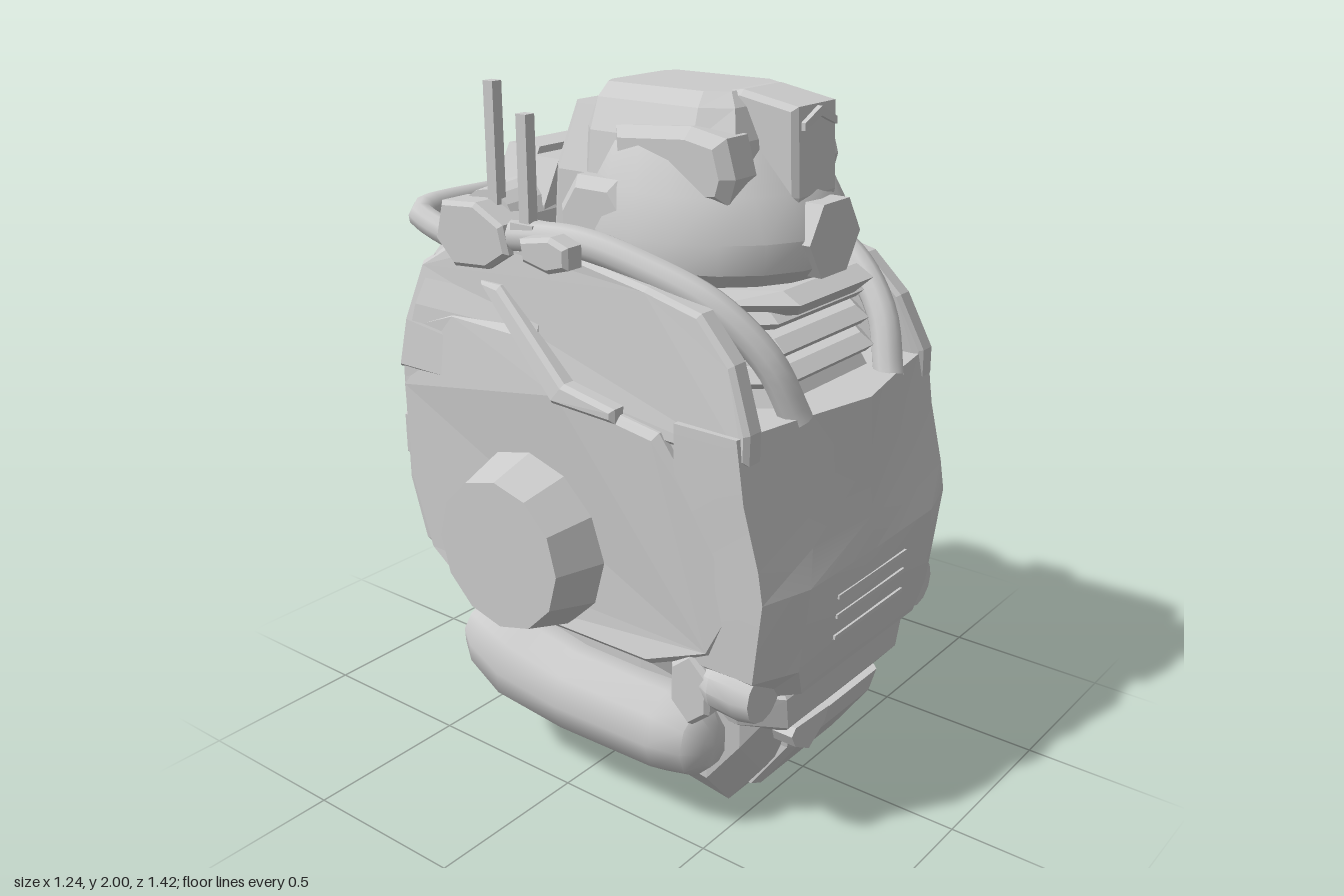
import * as THREE from 'three';
import { toCreasedNormals } from 'three/addons/utils/BufferGeometryUtils.js';

const flat = new THREE.MeshStandardMaterial({ color: 0xcccccc, flatShading: true, side: THREE.DoubleSide });
const smooth = new THREE.MeshStandardMaterial({ color: 0xcccccc, side: THREE.DoubleSide });

// Closed skin through rings of [x, y, z] points, capped at both ends
function loft(rings) {
  const n = rings[0].length, pos = rings.flat(2), idx = [];
  for (let r = 0; r < rings.length - 1; r++)
    for (let i = 0; i < n; i++) {
      const a = r * n + i, b = r * n + (i + 1) % n;
      idx.push(a, a + n, b, b, a + n, b + n);
    }
  [rings[0], rings[rings.length - 1]].forEach((ring, e) => {
    const c = pos.length / 3, o = e * (rings.length - 1) * n;
    for (let k = 0; k < 3; k++) pos.push(ring.reduce((s, p) => s + p[k], 0) / n);
    for (let i = 0; i < n; i++) {
      const a = o + i, b = o + (i + 1) % n;
      idx.push(...(e ? [c, b, a] : [c, a, b]));
    }
  });
  // Turn the faces outward if the enclosed volume is negative
  const v = i => new THREE.Vector3().fromArray(pos, idx[i] * 3);
  let vol = 0;
  for (let i = 0; i < idx.length; i += 3) vol += v(i).dot(v(i + 1).cross(v(i + 2)));
  if (vol < 0) idx.reverse();
  const g = new THREE.BufferGeometry();
  g.setAttribute('position', new THREE.Float32BufferAttribute(pos, 3));
  g.setIndex(idx);
  g.computeVertexNormals();
  return g;
}

// Horizontal eight-sided section: height, half width, front z, back z, chamfers
const oct = (y, w, f, b, cx = 0.12, cf = 0.12, cb = 0.12) => [
  [w, y, b + cb], [w, y, f - cf], [w - cx, y, f], [cx - w, y, f],
  [-w, y, f - cf], [-w, y, b + cb], [cx - w, y, b], [w - cx, y, b]];

// Horizontal rounded section, as above
const oval = (y, w, f, b) => Array.from({ length: 20 }, (_, i) => {
  const a = i * Math.PI / 10;
  return [w * Math.cos(a), y, (f + b) / 2 + (f - b) / 2 * Math.sin(a)];
});

const outline = pts => new THREE.Shape(pts.map(p => new THREE.Vector2(...p)));

// Plate cut from a (z, y) outline, from x0 out to x1
function slab(pts, x0, x1, bevel = 0.012) {
  const g = new THREE.ExtrudeGeometry(outline(pts), {
    depth: x1 - x0 - 2 * bevel, bevelSize: bevel, bevelThickness: bevel, bevelOffset: -bevel, bevelSegments: 1 });
  return g.rotateY(-Math.PI / 2).translate(x1 - bevel, 0, 0);
}

// Draws a side plate inward toward the top, the front and the back
function lean(g) {
  const p = g.attributes.position;
  for (let i = 0; i < p.count; i++) {
    const y = p.getY(i), z = p.getZ(i);
    p.setX(i, p.getX(i) - Math.max(0, y - 1.22) * 0.22 - Math.max(0, z - 0.35) * 0.12 - Math.max(0, -0.1 - z) * 0.07);
  }
  g.computeVertexNormals();
  return g;
}

// Plate cut from an (x, y) outline, from z0 forward to z1
function plate(pts, z0, z1, hole) {
  const s = outline(pts);
  if (hole) s.holes.push(outline(hole));
  return new THREE.ExtrudeGeometry(s, { depth: z1 - z0, bevelEnabled: false }).translate(0, 0, z0);
}

const hexagon = (x, y, rx, ry, turn = 0) => Array.from({ length: 6 }, (_, i) => {
  const a = i * Math.PI / 3 + turn;
  return [x + rx * Math.cos(a), y + ry * Math.sin(a)];
});
const box = (w, h, d, x, y, z, tilt = 0) => new THREE.BoxGeometry(w, h, d).rotateX(tilt).translate(x, y, z);
const pipe = (pts, r) => new THREE.TubeGeometry(
  new THREE.CatmullRomCurve3(pts.map(p => new THREE.Vector3(...p)), false, 'centripetal'), 28, r, 10);
// Cylinder lying along x, with its inner and outer radius
const drum = (rIn, rOut, x0, x1, y, z, sides) => new THREE.CylinderGeometry(rIn, rOut, x1 - x0, sides)
  .rotateZ(Math.PI / 2).translate((x0 + x1) / 2, y, z);

// Copy reflected across x = 0 with its corner order restored
function reflect(src) {
  const g = src.index ? src.toNonIndexed() : src.clone();
  g.scale(-1, 1, 1);
  for (const name of ['position', 'normal']) {
    const at = g.getAttribute(name), a = new THREE.Vector3(), b = new THREE.Vector3();
    for (let i = 0; i < at.count; i += 3) {
      a.fromBufferAttribute(at, i + 1);
      b.fromBufferAttribute(at, i + 2);
      at.setXYZ(i + 1, b.x, b.y, b.z);
      at.setXYZ(i + 2, a.x, a.y, a.z);
    }
  }
  return g;
}

export function createModel() {
  const root = new THREE.Group();
  root.name = 'mechTorso';
  const add = (name, g, mat = flat) => {
    const m = new THREE.Mesh(g, mat);
    m.name = name;
    root.add(m);
  };
  const pair = (name, g, mat = flat) => { add(name + 'Left', g, mat); add(name + 'Right', reflect(g), mat); };

  // Main hull and the sunken bay below the head
  add('hull', loft([oct(0.4, 0.38, 0.52, -0.45), oct(0.5, 0.42, 0.56, -0.56), oct(0.61, 0.45, 0.58, -0.66, 0.08, 0.1, 0.06),
    oct(0.8, 0.455, 0.6, -0.69, 0.06, 0.1, 0.04), oct(1.15, 0.455, 0.6, -0.69, 0.06, 0.1, 0.04), oct(1.21, 0.455, 0.58, -0.675, 0.06, 0.1, 0.04)]));
  add('upperBack', loft([oct(1.2, 0.455, -0.1, -0.68, 0.06, 0.02, 0.04), oct(1.35, 0.44, -0.1, -0.65, 0.08, 0.02, 0.05),
    oct(1.5, 0.4, -0.1, -0.61, 0.12, 0.02, 0.06), oct(1.55, 0.37, -0.1, -0.585, 0.12, 0.02, 0.06)]));
  add('bay', loft([oct(1.18, 0.4, 0.54, -0.2, 0.16, 0.2), oct(1.3, 0.38, 0.47, -0.2, 0.16, 0.2), oct(1.5, 0.34, 0.36, -0.2, 0.15, 0.2)]));
  for (let i = 0; i < 3; i++) {
    const y = 1.27 + i * 0.075, f = 0.54 - i * 0.02;
    add('bayRib' + i, loft([oct(y, 0.3, f - 0.01, 0, 0.1, 0.1), oct(y + 0.02, 0.31, f + 0.01, 0, 0.1, 0.1), oct(y + 0.05, 0.3, f - 0.03, 0, 0.1, 0.1)]));
  }

  // Shoulder walls, side armour and side drums
  pair('shoulderWall', lean(slab([[0.6, 1.15], [0.6, 1.23], [0.53, 1.39], [0.42, 1.5], [0.25, 1.54], [0, 1.58], [-0.3, 1.57], [-0.5, 1.53], [-0.6, 1.47], [-0.65, 1.3], [-0.67, 1.15]], 0.43, 0.5)));
  pair('sidePlate', lean(slab([[0.5, 0.58], [0.6, 0.78], [0.33, 1.18], [0, 1.23], [-0.16, 1.36], [-0.45, 1.36], [-0.62, 1.3], [-0.67, 1.1], [-0.66, 0.8], [-0.58, 0.58], [-0.42, 0.48], [0.3, 0.5]], 0.42, 0.495, 0.02)));
  pair('sideRidge', lean(slab([[0.2, 1.22], [0.02, 1.25], [-0.26, 1.46], [-0.34, 1.46], [-0.02, 1.19], [0.2, 1.18]], 0.42, 0.508)));
  pair('sideDrum', drum(0.27, 0.22, 0.45, 0.62, 0.75, -0.13, 12));

  // Chest armour, with a forward keel along its hollowed upper half
  const chest = (y, w, k, zc, zk, zo) => [[w, y, 0.38], [w, y, zo], [k, y, zk], [0, y, zc], [-k, y, zk], [-w, y, zo], [-w, y, 0.38]];
  add('chestPlate', toCreasedNormals(loft([chest(0.46, 0.38, 0.3, 0.675, 0.675, 0.6), chest(0.55, 0.47, 0.34, 0.69, 0.69, 0.63), chest(0.79, 0.475, 0.32, 0.71, 0.705, 0.66),
    chest(0.88, 0.475, 0.27, 0.69, 0.675, 0.645), chest(1.05, 0.48, 0.27, 0.68, 0.64, 0.6), chest(1.22, 0.48, 0.28, 0.67, 0.61, 0.575)]), 0.35), smooth);
  [0.585, 0.65, 0.71].forEach((y, i) => add('chestSlot' + i, box(0.36, 0.012, 0.02, 0, y, 0.69 + i * 0.004)));

  // Roll bars from chest to shoulder joints
  pair('rollBar', pipe([[0.23, 1.2, 0.59], [0.28, 1.36, 0.53], [0.33, 1.49, 0.4], [0.37, 1.57, 0.2], [0.39, 1.61, 0], [0.39, 1.59, -0.28]], 0.044), smooth);
  pair('barSocket', box(0.11, 0.1, 0.12, 0.34, 1.46, 0.34, 0.4));
  pair('barBracket', slab([[0.04, 1.56], [0.04, 1.62], [-0.02, 1.64], [-0.13, 1.62], [-0.12, 1.56], [-0.03, 1.54]], 0.42, 0.495));
  pair('shoulderJoint', drum(0.125, 0.11, 0.2, 0.36, 1.59, -0.37, 16));
  pair('jointCap', slab([[-0.22, 1.55], [-0.24, 1.63], [-0.34, 1.68], [-0.47, 1.67], [-0.5, 1.56], [-0.43, 1.49], [-0.3, 1.5]], 0.32, 0.445));

  // Rear handle
  add('rearHandle', pipe([[0.37, 1.54, -0.45], [0.365, 1.57, -0.58], [0.35, 1.59, -0.65], [0.31, 1.6, -0.665], [0, 1.6, -0.665],
    [-0.31, 1.6, -0.665], [-0.35, 1.59, -0.65], [-0.365, 1.57, -0.58], [-0.37, 1.54, -0.45]], 0.04), smooth);

  // Rear vent frames behind the head
  const arch = (w, t, y) => [[-w, 1.5], [-w, y - 0.12], [-t, y], [t, y], [w, y - 0.12], [w, 1.5]];
  add('ventFrame', plate(arch(0.22, 0.15, 1.79), -0.48, -0.36, [[-0.13, 1.56], [-0.13, 1.66], [-0.1, 1.72], [0.1, 1.72], [0.13, 1.66], [0.13, 1.56]]));
  add('ventCore', plate(arch(0.17, 0.12, 1.74), -0.42, -0.3));
  add('neckBand', plate(arch(0.245, 0.18, 1.77), -0.36, -0.26));
  add('neckBlock', loft([oct(1.5, 0.25, 0, -0.27, 0.05, 0.05, 0.05), oct(1.76, 0.24, 0, -0.265, 0.06, 0.05, 0.06), oct(1.93, 0.17, 0, -0.24, 0.05, 0.05, 0.05)]));

  // Antennas on the right shoulder
  add('antennaTall', box(0.035, 0.4, 0.035, -0.36, 1.8, -0.33));
  add('antennaShort', box(0.035, 0.33, 0.035, -0.395, 1.765, -0.18));
  add('antennaBase', box(0.07, 0.06, 0.08, -0.39, 1.61, -0.18));

  // Helmet
  add('helmet', toCreasedNormals(loft([oval(1.5, 0.31, 0.47, -0.2), oval(1.56, 0.36, 0.535, -0.24), oval(1.64, 0.365, 0.54, -0.24),
    oval(1.75, 0.325, 0.48, -0.22), oval(1.86, 0.27, 0.38, -0.18), oval(1.95, 0.19, 0.28, -0.12)]), 0.6), smooth);
  add('helmetTop', loft([oct(1.72, 0.28, 0.38, -0.13, 0.06, 0.1, 0.06), oct(1.88, 0.25, 0.36, -0.13, 0.05, 0.1, 0.05),
    oct(1.96, 0.2, 0.32, -0.125, 0.05, 0.08, 0.03), oct(1.995, 0.15, 0.28, -0.12, 0.04, 0.06, 0.02)]));
  add('crest', slab([[0.15, 1.98], [0.3, 2], [0.47, 1.97], [0.48, 1.74], [0.45, 1.62], [0.15, 1.62]], -0.1, 0.1, 0.015));
  add('crestNotch', plate([[-0.075, 1.93], [0, 1.965], [0.075, 1.93], [0.075, 1.91], [0, 1.94], [-0.075, 1.91]], 0.46, 0.485));
  add('noseHexagon', plate(hexagon(0, 1.63, 0.122, 0.112), 0.42, 0.54));
  pair('browBlock', slab([[0, 1.9], [0.25, 1.92], [0.36, 1.9], [0.39, 1.8], [0.37, 1.73], [0.15, 1.7], [0, 1.74]], 0.12, 0.27, 0.03));
  pair('earPlate', slab([[0.13, 1.68], [0.06, 1.77], [-0.08, 1.77], [-0.14, 1.68], [-0.14, 1.58], [0.12, 1.58]], 0.23, 0.335, 0.03));
  add('chinGuard', loft([oct(1.45, 0.26, 0.52, 0.05, 0.12, 0.14), oct(1.49, 0.32, 0.555, 0.05, 0.14, 0.18), oct(1.52, 0.3, 0.5, 0.05, 0.12, 0.18)]));

  // Rear step, lugs and lower roll
  add('backStep', box(0.36, 0.05, 0.05, 0, 0.85, -0.685));
  pair('backLug', plate(hexagon(0.35, 0.92, 0.08, 0.12, Math.PI / 6), -0.7, -0.62));
  add('backRoll', drum(0.13, 0.13, -0.4, 0.4, 0.74, -0.57, 16));

  // Pelvis with its sloping underside
  const hip = (w, yTop, yBot, z) => [[w, yTop, z], [w, yBot + 0.13, z], [w - 0.11, yBot, z], [0.11 - w, yBot, z], [-w, yBot + 0.13, z], [-w, yTop, z]];
  add('pelvis', loft([hip(0.3, 0.45, 0.21, 0.57), hip(0.35, 0.46, 0.12, 0.51), hip(0.38, 0.46, 0, 0.42), hip(0.4, 0.46, 0.05, 0.2),
    hip(0.4, 0.46, 0.08, -0.2), hip(0.36, 0.42, 0.19, -0.5)]));
  add('waistBelt', loft([oct(0.28, 0.3, 0.59, 0.2, 0.06, 0.1), oct(0.33, 0.36, 0.63, 0.2, 0.07, 0.12), oct(0.43, 0.39, 0.635, 0.2, 0.08, 0.14), oct(0.47, 0.37, 0.6, 0.2, 0.08, 0.12)]));
  add('groinPlate', loft([oct(0.04, 0.215, 0.48, 0.3, 0.02, 0.02, 0.02), oct(0.21, 0.215, 0.6, 0.3, 0.02, 0.02, 0.02), oct(0.28, 0.23, 0.615, 0.3, 0.02, 0.02, 0.02)]));
  add('hipBadge', plate([[-0.27, 0.29], [-0.25, 0.25], [-0.18, 0.21], [-0.1, 0.26], [-0.08, 0.3], [-0.25, 0.31]], 0.55, 0.63));

  // Hip pods: rounded sections following a line that climbs to the rear
  const pod = [[0.47, 0.27, 0.06], [0.43, 0.28, 0.11], [0.33, 0.285, 0.135], [0, 0.285, 0.14], [-0.22, 0.315, 0.145], [-0.35, 0.36, 0.125], [-0.41, 0.375, 0.085]]
    .map(([z, y, r]) => Array.from({ length: 10 }, (_, i) => {
      const a = i * Math.PI / 5, tilt = z < -0.1 ? 0.3 : 0;
      return [0.41 + r * Math.cos(a), y + r * Math.sin(a), z + tilt * r * Math.sin(a)];
    }));
  pair('hipPod', toCreasedNormals(loft(pod), 0.8), smooth);

  // Small thrusters tucked behind the chest corners
  const nozzle = new THREE.LatheGeometry([[0, 0], [0.075, 0], [0.085, 0.05], [0.08, 0.13], [0.05, 0.2], [0, 0.2]].map(p => new THREE.Vector2(...p)), 12);
  pair('thruster', toCreasedNormals(nozzle.rotateX(-Math.PI / 2).translate(0.415, 0.49, 0.63), 0.6), smooth);
  pair('thrusterDisc', slab(hexagon(0.43, 0.465, 0.075, 0.115, 0.5), 0.4, 0.48));
  return root;
}
